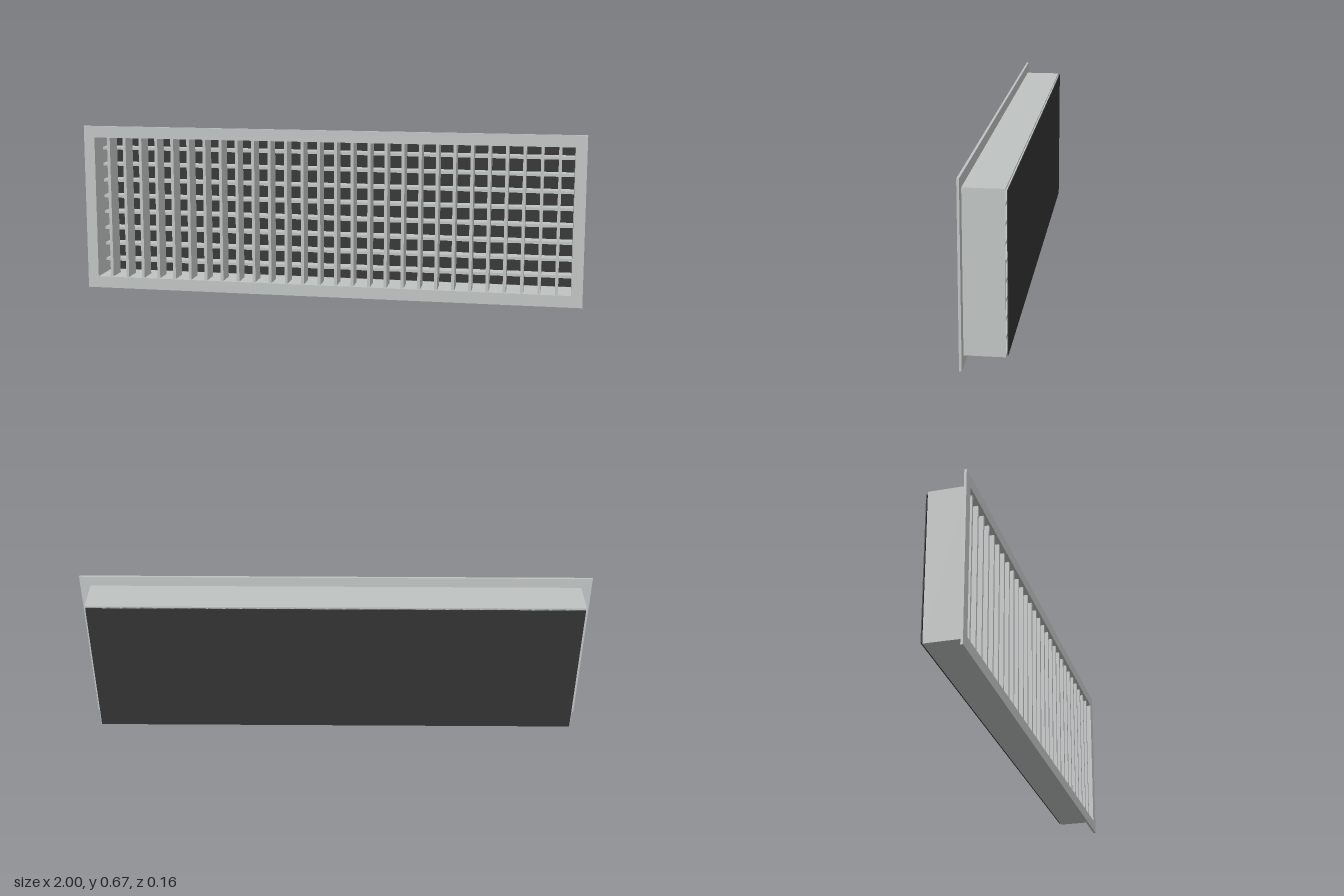
import * as THREE from 'three';

const CENTER_Y = 0.3335;

// Rectangular ring with a rectangular hole, running from z0 to z1
function ring(w, h, holeW, holeH, z0, z1) {
  const rect = (target, a, b) => target
    .moveTo(-a / 2, -b / 2).lineTo(a / 2, -b / 2)
    .lineTo(a / 2, b / 2).lineTo(-a / 2, b / 2).closePath();
  const shape = rect(new THREE.Shape(), w, h);
  shape.holes.push(rect(new THREE.Path(), holeW, holeH));
  return new THREE.ExtrudeGeometry(shape, { depth: z1 - z0, bevelEnabled: false })
    .translate(0, CENTER_Y, z0);
}

// Box given by its centre in x and y and its range in z
function box(w, h, x, y, z0, z1) {
  return new THREE.BoxGeometry(w, h, z1 - z0).translate(x, y, (z0 + z1) / 2);
}

export function createModel() {
  const model = new THREE.Group();
  model.name = 'ventGrille';

  const metal = new THREE.MeshStandardMaterial({ color: 0xbfc3c2 });
  metal.name = 'paleGreyMetal';
  const dark = new THREE.MeshStandardMaterial({ color: 0x333333 });
  dark.name = 'darkBacking';

  const add = (parent, name, geometry, material) => {
    const mesh = new THREE.Mesh(geometry, material);
    mesh.name = name;
    parent.add(mesh);
  };

  const openW = 1.912, openH = 0.574, pitch = 0.0667;

  // Front flange and the duct collar behind it
  add(model, 'flange', ring(2, 0.667, openW, openH, 0.071, 0.08), metal);
  add(model, 'collar', ring(1.92, 0.585, openW, openH, -0.072, 0.071), metal);

  // Upright fins in front
  const fins = new THREE.Group();
  fins.name = 'verticalFins';
  for (let i = 0; i < 28; i++) {
    add(fins, 'verticalFin', box(0.012, openH, (i - 13.5) * pitch, CENTER_Y, -0.012, 0.071), metal);
  }
  model.add(fins);

  // Level blades behind the fins
  const blades = new THREE.Group();
  blades.name = 'horizontalBlades';
  for (let i = 0; i < 8; i++) {
    add(blades, 'horizontalBlade', box(openW, 0.011, 0, CENTER_Y + (i - 3.5) * pitch, -0.07, -0.014), metal);
  }
  model.add(blades);

  // Thin backing plate, set just off the collar
  add(model, 'backPlate', box(openW, openH, 0, CENTER_Y, -0.08, -0.077), dark);

  return model;
}
